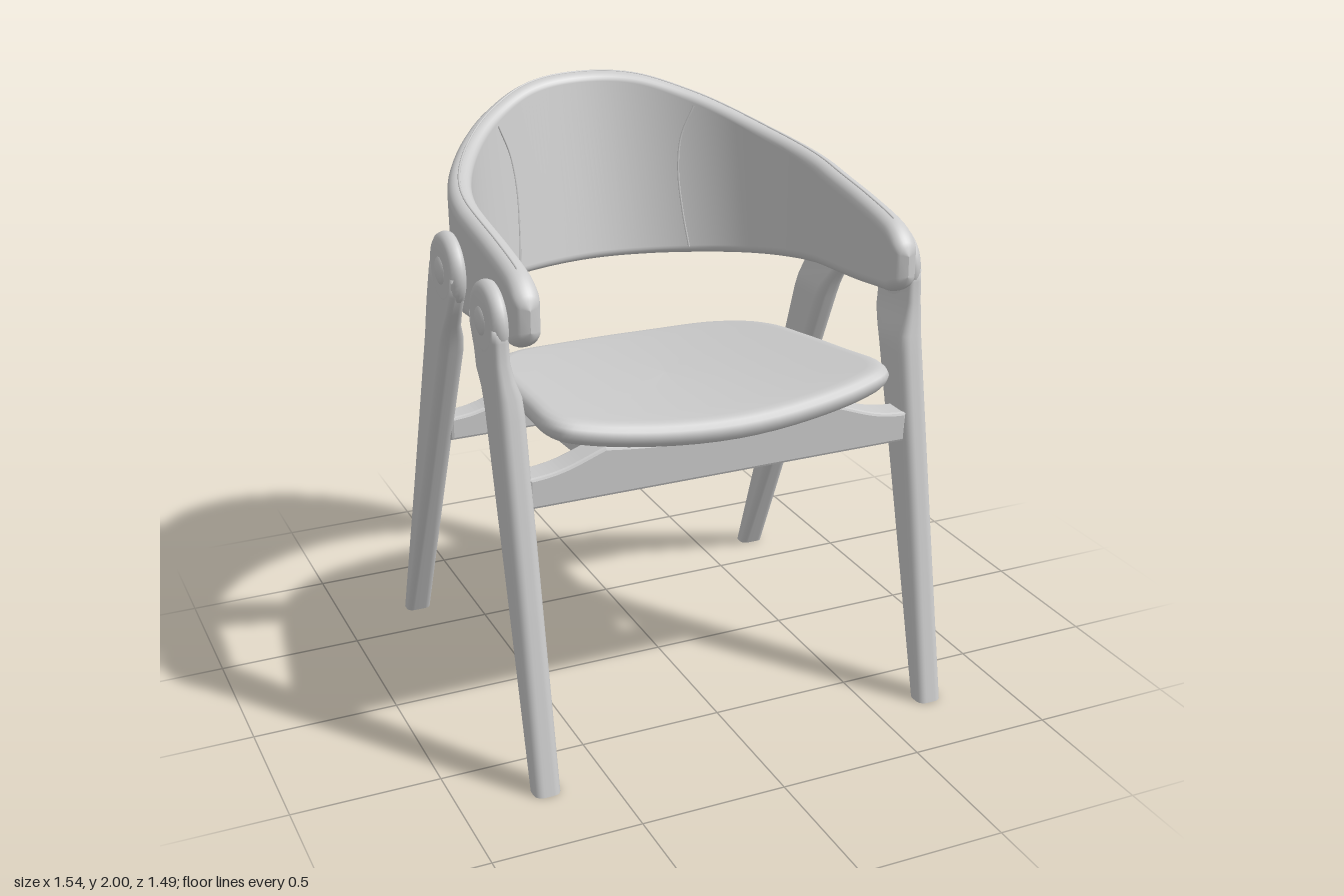
import * as THREE from 'three';

const grey = new THREE.MeshStandardMaterial({ color: 0xcccccc });
grey.name = 'soft grey';

// Skin a list of closed rings (arrays of Vector3 with equal counts)
function loft(rings) {
  const n = rings[0].length, pos = [], idx = [];
  rings.forEach(r => r.forEach(p => pos.push(p.x, p.y, p.z)));
  for (let i = 0; i < rings.length - 1; i++)
    for (let j = 0; j < n; j++) {
      const k = (j + 1) % n, a = i * n + j, b = i * n + k, c = b + n, d = a + n;
      idx.push(a, b, c, a, c, d);
    }
  const g = new THREE.BufferGeometry();
  g.setAttribute('position', new THREE.Float32BufferAttribute(pos, 3));
  g.setIndex(idx);
  g.computeVertexNormals();
  return g;
}

// Counter-clockwise rounded rectangle as [u, v] pairs
function roundRect(hw, hh, r, k = 6) {
  const pts = [];
  for (let q = 0; q < 4; q++)
    for (let i = 0; i <= k; i++) {
      const a = (q + i / k) * Math.PI / 2;
      const su = q === 0 || q === 3 ? 1 : -1, sv = q < 2 ? 1 : -1;
      pts.push([su * (hw - r) + r * Math.cos(a), sv * (hh - r) + r * Math.sin(a)]);
    }
  return pts;
}

function part(parent, name, geometry) {
  const m = new THREE.Mesh(geometry, grey);
  m.name = name;
  parent.add(m);
  return m;
}

// Backrest surface: s runs round the U (|s| < 1 is the bend, beyond it the straight arms),
// n is the outward offset and y the height; the back leans outward with height
function backPoint(s, n, y) {
  const sign = Math.sign(s), a = Math.min(1, Math.abs(s)) * Math.PI / 2;
  if (Math.abs(s) > 1) return new THREE.Vector3(sign * (0.66 + n), y, Math.abs(s) - 1);
  const depth = 0.57 + (y - 1.34) * 0.22;
  return new THREE.Vector3(sign * (0.66 + n) * Math.sin(a), y, -(depth + n) * Math.cos(a));
}
const halfThickness = s => 0.033 + 0.012 * Math.min(1, s * s);

function buildBackrest(parent) {
  const group = new THREE.Group();
  group.name = 'backrest';
  parent.add(group);
  // position along the U, top edge, bottom edge
  const half = [[0, 2, 1.34], [0.2, 1.985, 1.34], [0.4, 1.925, 1.345], [0.7, 1.82, 1.365],
    [1, 1.755, 1.39], [1.25, 1.715, 1.41], [1.42, 1.68, 1.43], [1.535, 1.64, 1.44]];
  const all = [...half.slice(1).reverse().map(([s, t, b]) => [-s, t, b]), ...half];
  const edges = new THREE.CatmullRomCurve3(all.map(p => new THREE.Vector3(...p)));
  const round = (e, r) => e >= r ? 1 : Math.sqrt(Math.max(0, 1 - ((r - e) / r) ** 2));
  const rings = [], ridge = [];
  const steps = 168;
  for (let i = 0; i <= steps; i++) {
    const { x: s, y: top, z: bottom } = edges.getPoint(i / steps);
    const e = 1.535 - Math.abs(s);
    const hw = Math.max(0.0002, halfThickness(s) * round(e, 0.045));
    const hh = (top - bottom) / 2 * (0.35 + 0.65 * round(e, 0.1));
    const mid = (top + bottom) / 2;
    rings.push(roundRect(hw, hh, hw * 0.92).map(([n, v]) => backPoint(s, n, mid + v)));
    if (e > 0.1) ridge.push(backPoint(s, 0, top));
  }
  const ends = [rings[0], rings[steps]].map(r => {
    const c = r.reduce((sum, p) => sum.add(p), new THREE.Vector3()).divideScalar(r.length);
    return r.map(() => c.clone());
  });
  part(group, 'backrestShell', loft([ends[0], ...rings, ends[1]]));
  part(group, 'topSeam', new THREE.TubeGeometry(new THREE.CatmullRomCurve3(ridge), 120, 0.004, 6));
  // upright seams on the inner face
  for (const side of [1, -1]) {
    const path = [[0.355, 1.37], [0.34, 1.5], [0.335, 1.65], [0.355, 1.77], [0.41, 1.88]]
      .map(([s, y]) => backPoint(side * s, -halfThickness(s), y));
    part(group, 'uprightSeam', new THREE.TubeGeometry(new THREE.CatmullRomCurve3(path), 32, 0.004, 6));
  }
}

// Dished seat cushion, sloping down to the back
function buildSeat(parent) {
  const half = [[0.3, 0.63], [0.5, 0.6], [0.585, 0.565], [0.613, 0.49], [0.6, 0.3], [0.575, 0],
    [0.55, -0.18], [0.5, -0.3], [0.385, -0.425], [0.2, -0.5]];
  const right = half.slice().reverse();
  const outline = new THREE.CatmullRomCurve3([[0, -0.53], ...right, [0, 0.65],
    ...half.map(([x, z]) => [-x, z])].map(([x, z]) => new THREE.Vector3(x, 0, z)), true);
  const rim = outline.getPoints(96).slice(0, 96);
  const profile = [[0, 0], [0.25, 0], [0.5, 0], [0.75, 0], [0.9, 0], [0.94, -0.003], [0.97, -0.012],
    [0.99, -0.026], [1, -0.044], [0.99, -0.064], [0.97, -0.078], [0.93, -0.085], [0.7, -0.085],
    [0.4, -0.085], [0, -0.085]];
  const rings = profile.map(([k, dy]) => rim.map(p => {
    const x = p.x * k, z = 0.06 + (p.z - 0.06) * k;
    return new THREE.Vector3(x, 1.105 + 0.09 * z + 0.19 * x * x + dy, z);
  }));
  part(parent, 'seat', loft(rings));
}

// Tapered leg that thins into a round head outside the arm; stations are [y, zFront, zBack, xInner, xOuter]
function buildLeg(parent, name, side, stations, headY, headZ) {
  const leg = new THREE.Group();
  leg.name = name;
  parent.add(leg);
  const rings = stations.map(([y, zf, zb, xi, xo]) => {
    const hx = (xo - xi) / 2, hz = (zf - zb) / 2;
    return roundRect(hz, hx, Math.min(hx, hz) * 0.72)
      .map(([u, v]) => new THREE.Vector3(side * (xi + xo) / 2 + v, y, (zf + zb) / 2 + u));
  });
  const cap = (r, y) => r.map(p => new THREE.Vector3(side * 0.72, y, r.reduce((t, q) => t + q.z, 0) / r.length));
  const foot = rings[0].map(p => p.clone());
  part(leg, 'legPost', loft([...rings, cap(rings.at(-1), stations.at(-1)[0])]));
  part(leg, 'footSole', loft([cap(foot, 0), foot]));
  // rounded head disc and pin dome, turned about the x axis
  const turned = (label, pts, x) => {
    const m = part(leg, label, new THREE.LatheGeometry(pts.map(p => new THREE.Vector2(...p)), 40));
    m.rotation.z = -side * Math.PI / 2;
    m.position.set(side * x, headY, headZ);
  };
  turned('legHead', [[0, 0], [0.11, 0], [0.122, 0.006], [0.127, 0.018], [0.127, 0.03],
    [0.121, 0.044], [0.108, 0.053], [0.09, 0.056], [0, 0.056]], 0.703);
  turned('pin', [[0.047, 0], [0.045, 0.004], [0.034, 0.009], [0.018, 0.012], [0, 0.013]], 0.757);
}

// Cross rail whose top sweeps up to meet the seat
function buildRail(parent, name, base, end, shoulder, mid, z, depth) {
  const s = new THREE.Shape();
  s.moveTo(-0.68, base);
  s.lineTo(0.68, base);
  s.lineTo(0.68, end);
  s.bezierCurveTo(0.56, end + 0.005, 0.52, end + 0.03, 0.42, shoulder);
  s.quadraticCurveTo(0, 2 * mid - shoulder, -0.42, shoulder);
  s.bezierCurveTo(-0.52, end + 0.03, -0.56, end + 0.005, -0.68, end);
  const g = new THREE.ExtrudeGeometry(s, { depth: depth - 0.02, bevelSize: 0.01, bevelThickness: 0.01,
    bevelOffset: -0.01, bevelSegments: 2, curveSegments: 16 });
  g.translate(0, 0, z - depth / 2 + 0.01);
  part(parent, name, g);
}

export function createModel() {
  const chair = new THREE.Group();
  chair.name = 'armchair';
  buildBackrest(chair);
  buildSeat(chair);

  const front = [[0, 0.743, 0.663, 0.668, 0.758], [0.6, 0.63, 0.502, 0.668, 0.758],
    [1.22, 0.512, 0.336, 0.668, 0.758], [1.28, 0.5, 0.312, 0.672, 0.758], [1.33, 0.49, 0.275, 0.69, 0.758],
    [1.39, 0.479, 0.264, 0.703, 0.758], [1.46, 0.473, 0.232, 0.704, 0.758], [1.5, 0.472, 0.228, 0.704, 0.758]];
  const back = [[0, -0.642, -0.708, 0.668, 0.758], [0.6, -0.37, -0.5, 0.668, 0.758],
    [1.24, -0.079, -0.279, 0.668, 0.758], [1.29, -0.056, -0.262, 0.674, 0.758], [1.35, -0.022, -0.241, 0.694, 0.758],
    [1.41, 0.02, -0.22, 0.703, 0.758], [1.48, 0.06, -0.196, 0.704, 0.758], [1.545, 0.076, -0.172, 0.704, 0.758]];
  for (const side of [1, -1]) {
    const label = side > 0 ? 'Left' : 'Right';
    buildLeg(chair, 'frontLeg' + label, side, front, 1.5, 0.35);
    buildLeg(chair, 'backLeg' + label, side, back, 1.545, -0.045);
    // lengthwise bearer under the seat
    const s = new THREE.Shape([[0.46, 0.925], [0.46, 1.08], [-0.28, 1.01], [-0.28, 0.868]]
      .map(p => new THREE.Vector2(...p)));
    const g = new THREE.ExtrudeGeometry(s, { depth: 0.07, bevelEnabled: false });
    g.rotateY(-Math.PI / 2);
    g.translate(side * 0.335 + 0.035, 0, 0);
    part(chair, 'seatBearer' + label, g);
  }
  buildRail(chair, 'frontRail', 0.92, 1.025, 1.09, 1.06, 0.49, 0.1);
  buildRail(chair, 'backRail', 0.85, 0.935, 1.015, 0.99, -0.29, 0.09);
  return chair;
}
